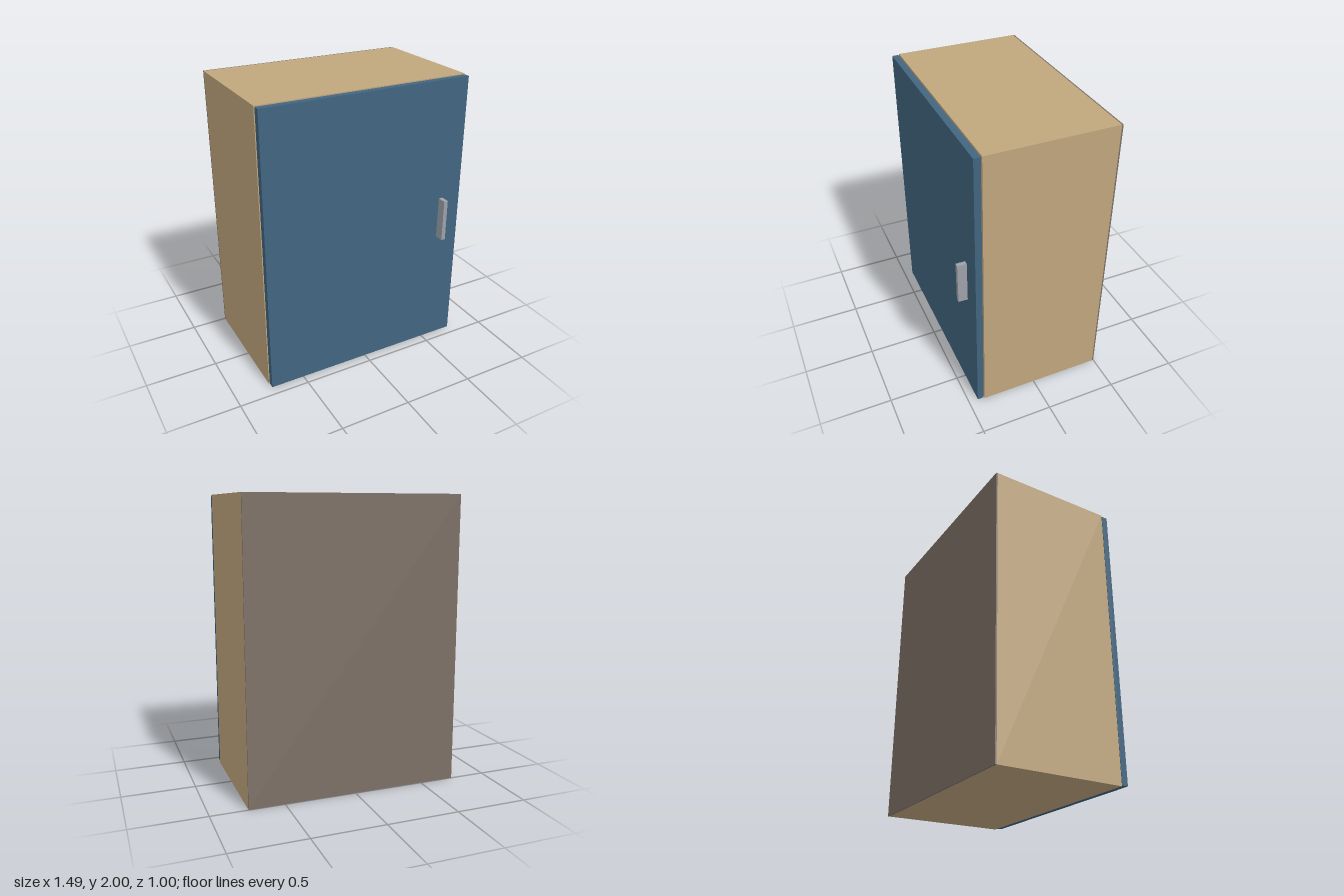
import * as THREE from 'three';

const wood = new THREE.MeshStandardMaterial({ color: 0xc0a67d });
const blue = new THREE.MeshStandardMaterial({ color: 0x41657f });
const backing = new THREE.MeshStandardMaterial({ color: 0x7d7067 });
const metal = new THREE.MeshStandardMaterial({ color: 0x9da2a9 });

// Box given by its lower and upper corners
function panel(name, material, [x0, y0, z0], [x1, y1, z1]) {
  const mesh = new THREE.Mesh(new THREE.BoxGeometry(x1 - x0, y1 - y0, z1 - z0), material);
  mesh.position.set((x0 + x1) / 2, (y0 + y1) / 2, (z0 + z1) / 2);
  mesh.name = name;
  return mesh;
}

export function createModel() {
  const group = new THREE.Group();
  group.name = 'cabinet';
  const W = 0.746, H = 2, T = 0.045; // half width, height, board thickness
  const rear = -0.49, front = 0.385;

  // Carcass: two sides with the top and bottom boards between them
  group.add(
    panel('leftSide', wood, [W - T, 0, rear], [W, H, front]),
    panel('rightSide', wood, [-W, 0, rear], [-W + T, H, front]),
    panel('bottomBoard', wood, [-W + T, 0, rear], [W - T, T, front]),
    panel('topBoard', wood, [-W + T, H - T, rear], [W - T, H, front])
  );

  // Thin back sheet
  group.add(panel('backPanel', backing, [-W, 0, -0.5], [W, H, rear]));

  // Door, slightly smaller than the carcass and set off by a narrow gap
  const door = new THREE.Group();
  door.name = 'doorAssembly';
  door.add(
    panel('door', blue, [-0.742, 0.007, 0.391], [0.742, 1.995, 0.436]),
    panel('handle', metal, [0.57, 0.85, 0.436], [0.6, 1.15, 0.5])
  );
  group.add(door);

  return group;
}
